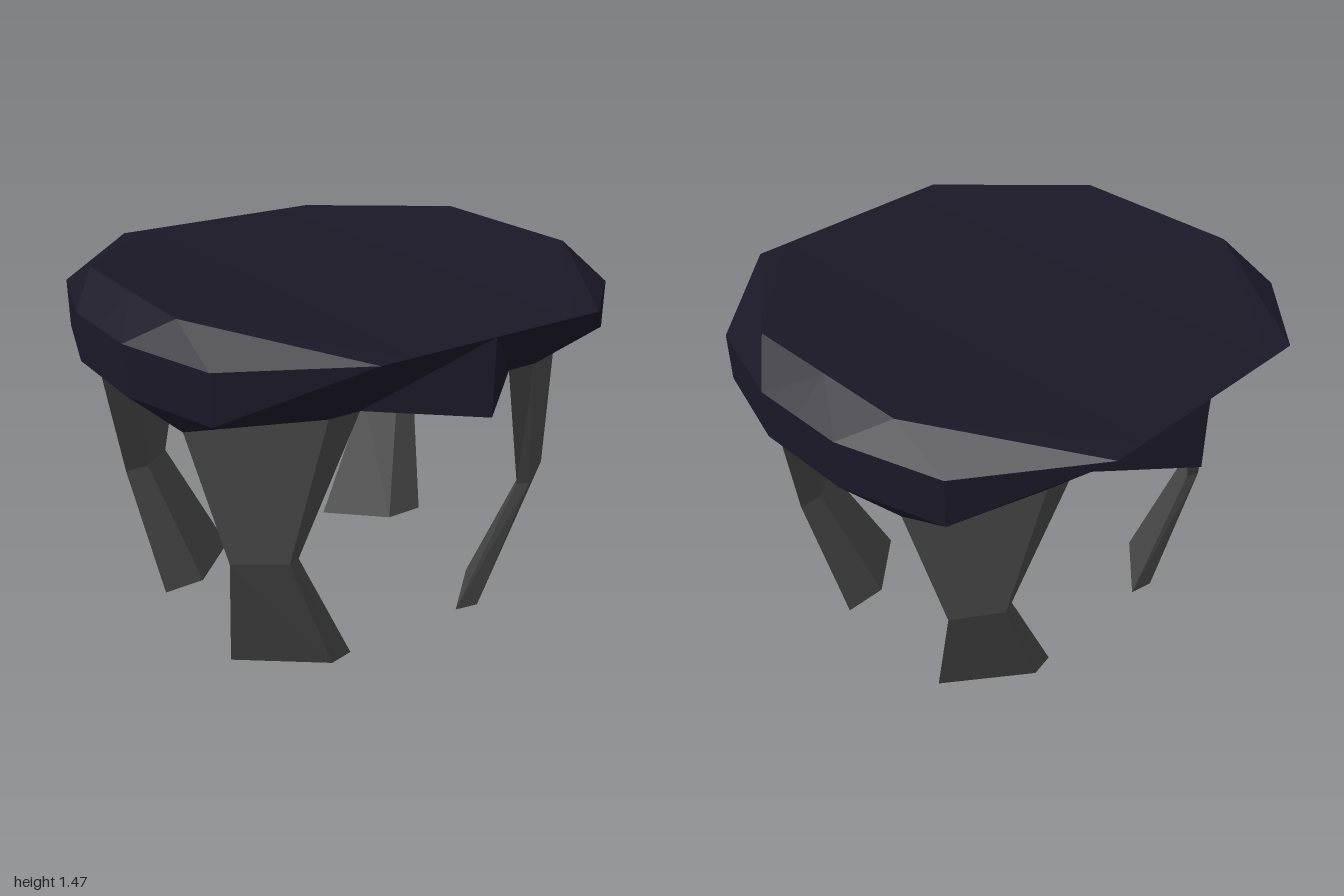
import * as THREE from 'three';

// Faceted mesh from polygons (corner lists, counter-clockwise from outside), fanned into
// triangles and mirrored by sx, sz; an odd mirror flips the corner order.
function facetedGeometry(polygons, mirrors) {
  const pos = [];
  for (const [sx, sz] of mirrors) {
    const put = ([x, y, z]) => pos.push(x * sx, y, z * sz);
    for (const p of polygons) {
      for (let i = 1; i < p.length - 1; i++) {
        const tri = sx * sz > 0 ? [p[0], p[i], p[i + 1]] : [p[0], p[i + 1], p[i]];
        tri.forEach(put);
      }
    }
  }
  const geo = new THREE.BufferGeometry();
  geo.setAttribute('position', new THREE.Float32BufferAttribute(pos, 3));
  geo.computeVertexNormals();
  return geo;
}

const QUADRANTS = [[1, 1], [-1, 1], [-1, -1], [1, -1]];

// One quarter of the seat (+x, +z)
function seatQuarter() {
  // upper rim, then lower rim, from the middle of the front round to the side
  const t0 = [0, 1.41, 0.955], t1 = [0.34, 1.41, 0.955], t2 = [0.47, 1.41, 0.955];
  const t3 = [0.88, 1.36, 0.6], t4 = [1, 1.36, 0.2], t5 = [1, 1.36, 0];
  const b0 = [0, 1.12, 0.955], b1 = [0.34, 1.12, 0.66], b2 = [0.47, 1.12, 0.66];
  const b3 = [0.88, 1.17, 0.6], b4 = [1, 1.17, 0.2], b5 = [1, 1.17, 0];
  // raised side of the top and flat underside
  const up = [0.87, 1.47, 0.36], upMid = [0.87, 1.47, 0];
  const low = [0.87, 1.06, 0.36], lowMid = [0.87, 1.06, 0];
  return [
    // dished top
    [[0, 1.41, 0], t0, t1, [0.34, 1.41, 0]],
    [[0.34, 1.41, 0], t1, up, upMid],
    [t1, t2, up],
    // upper bevel
    [t2, t3, up], [t3, t4, up], [t4, t5, upMid, up],
    // side walls
    [t0, b0, b1, t1], [t1, b1, b2, t2], [t2, b2, b3, t3], [t3, b3, b4, t4], [t4, b4, b5, t5],
    // lower bevel
    [b2, low, b3], [b3, low, b4], [b4, low, lowMid, b5],
    // underside
    [[0, 1.06, 0], lowMid, low, [0, 1.06, 0.36]],
    [[0, 1.06, 0.36], low, b2, b1, b0],
  ];
}

// Leg lofted through three four-sided sections: foot, knee, top
function legPolygons() {
  const rings = [
    [[0.37, 0, 0.53], [0.69, 0, 0.29], [0.51, 0, 0.29], [0.27, 0, 0.51]],
    [[0.58, 0.54, 0.57], [0.76, 0.54, 0.45], [0.66, 0.54, 0.45], [0.53, 0.54, 0.55]],
    [[0.47, 1.12, 0.66], [0.87, 1.06, 0.36], [0.7, 1.06, 0.36], [0.34, 1.12, 0.66]],
  ];
  const polys = [[...rings[0]].reverse(), rings[2]];
  for (let r = 0; r < 2; r++) {
    for (let i = 0; i < 4; i++) {
      const j = (i + 1) % 4;
      polys.push([rings[r][i], rings[r][j], rings[r + 1][j], rings[r + 1][i]]);
    }
  }
  return polys;
}

export function createModel() {
  const group = new THREE.Group();
  group.name = 'stool';
  const seatMat = new THREE.MeshStandardMaterial({ color: 0x1b1827, flatShading: true });
  const legMat = new THREE.MeshStandardMaterial({ color: 0x484848, flatShading: true });

  const seat = new THREE.Mesh(facetedGeometry(seatQuarter(), QUADRANTS), seatMat);
  seat.name = 'seat';
  group.add(seat);

  const names = ['frontLeftLeg', 'frontRightLeg', 'backRightLeg', 'backLeftLeg'];
  const polys = legPolygons();
  QUADRANTS.forEach((q, i) => {
    const leg = new THREE.Mesh(facetedGeometry(polys, [q]), legMat);
    leg.name = names[i];
    group.add(leg);
  });
  return group;
}
